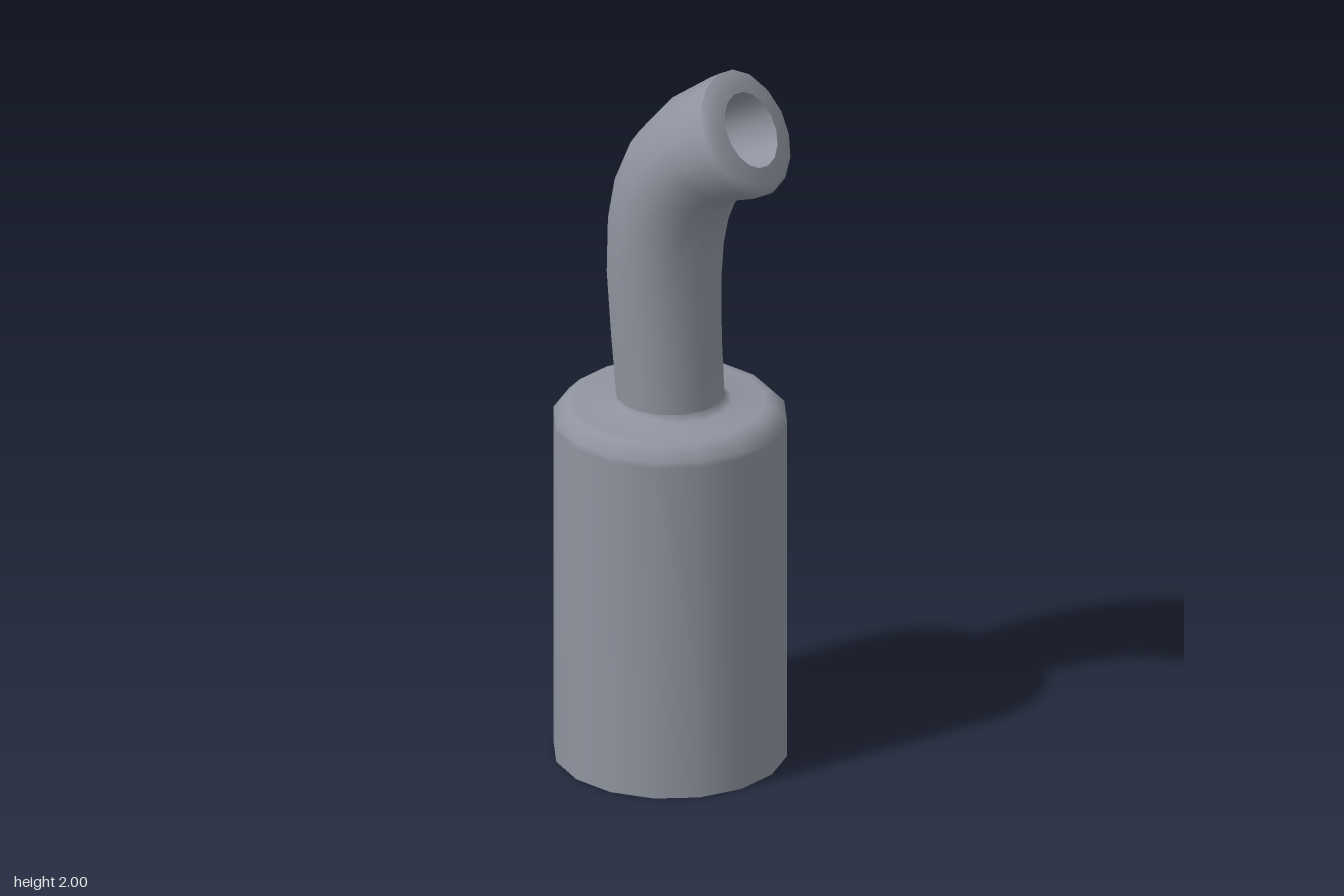
import * as THREE from 'three';
import { toCreasedNormals } from 'three/addons/utils/BufferGeometryUtils.js';

const SIDES = 16;

// Skin elliptical rings; each ring is [leftX, leftY, rightX, rightY, halfDepth]
function loft(rings) {
  const pos = [], index = [];
  for (const [lx, ly, rx, ry, w] of rings) {
    for (let j = 0; j < SIDES; j++) {
      const a = (j / SIDES) * Math.PI * 2, c = Math.cos(a) / 2;
      pos.push((lx + rx) / 2 + (rx - lx) * c, (ly + ry) / 2 + (ry - ly) * c, w * Math.sin(a));
    }
  }
  for (let i = 0; i < rings.length - 1; i++) {
    for (let j = 0; j < SIDES; j++) {
      const k = (j + 1) % SIDES;
      const a = i * SIDES + j, b = i * SIDES + k;
      index.push(a, a + SIDES, b, b, a + SIDES, b + SIDES);
    }
  }
  const geo = new THREE.BufferGeometry();
  geo.setAttribute('position', new THREE.Float32BufferAttribute(pos, 3));
  geo.setIndex(index);
  return toCreasedNormals(geo, 0.95);
}

export function createModel() {
  const group = new THREE.Group();
  group.name = 'exhaust';
  const metal = new THREE.MeshStandardMaterial({ color: 0x8f949f, side: THREE.DoubleSide });
  metal.name = 'greyMetal';

  // Canister, open below, with a chamfered shoulder
  const profile = [
    [0.311, 0], [0.311, 0.96], [0.311, 0.978], [0.276, 1.013], [0.255, 1.016], [0.165, 1.02],
    [0.15, 1.026], [0.145, 1.04],
  ].map(([r, y]) => new THREE.Vector2(r, y));
  const canister = new THREE.Mesh(toCreasedNormals(new THREE.LatheGeometry(profile, SIDES), 0.95), metal);
  canister.name = 'canister';
  canister.position.x = -0.006;
  group.add(canister);

  // Bent pipe that widens toward its mouth
  const pipe = new THREE.Mesh(loft([
    [-0.151, 1.035, 0.139, 1.035, 0.145],
    [-0.165, 1.2, 0.129, 1.21, 0.151],
    [-0.177, 1.38, 0.127, 1.38, 0.157],
    [-0.172, 1.54, 0.133, 1.48, 0.163],
    [-0.15, 1.66, 0.146, 1.55, 0.167],
    [-0.1, 1.78, 0.17, 1.615, 0.172],
    [0, 1.9, 0.213, 1.664, 0.176],
    [0.115, 1.985, 0.29, 1.687, 0.178],
    [0.138, 2.0, 0.306, 1.694, 0.178],
    [0.155, 1.99, 0.315, 1.704, 0.169],
    [0.175, 1.972, 0.313, 1.724, 0.147],
    [0.189, 1.953, 0.295, 1.772, 0.104],
  ]), metal);
  pipe.name = 'pipe';
  group.add(pipe);

  // Bore running back into the bend
  const bore = new THREE.Mesh(loft([
    [0.189, 1.953, 0.295, 1.772, 0.104],
    [0.04, 1.86, 0.17, 1.71, 0.1],
    [-0.05, 1.75, 0.12, 1.645, 0.1],
    [-0.105, 1.6, 0.095, 1.55, 0.1],
    [-0.01, 1.575, -0.009, 1.575, 0.001],
  ]), metal);
  bore.name = 'bore';
  group.add(bore);

  return group;
}
